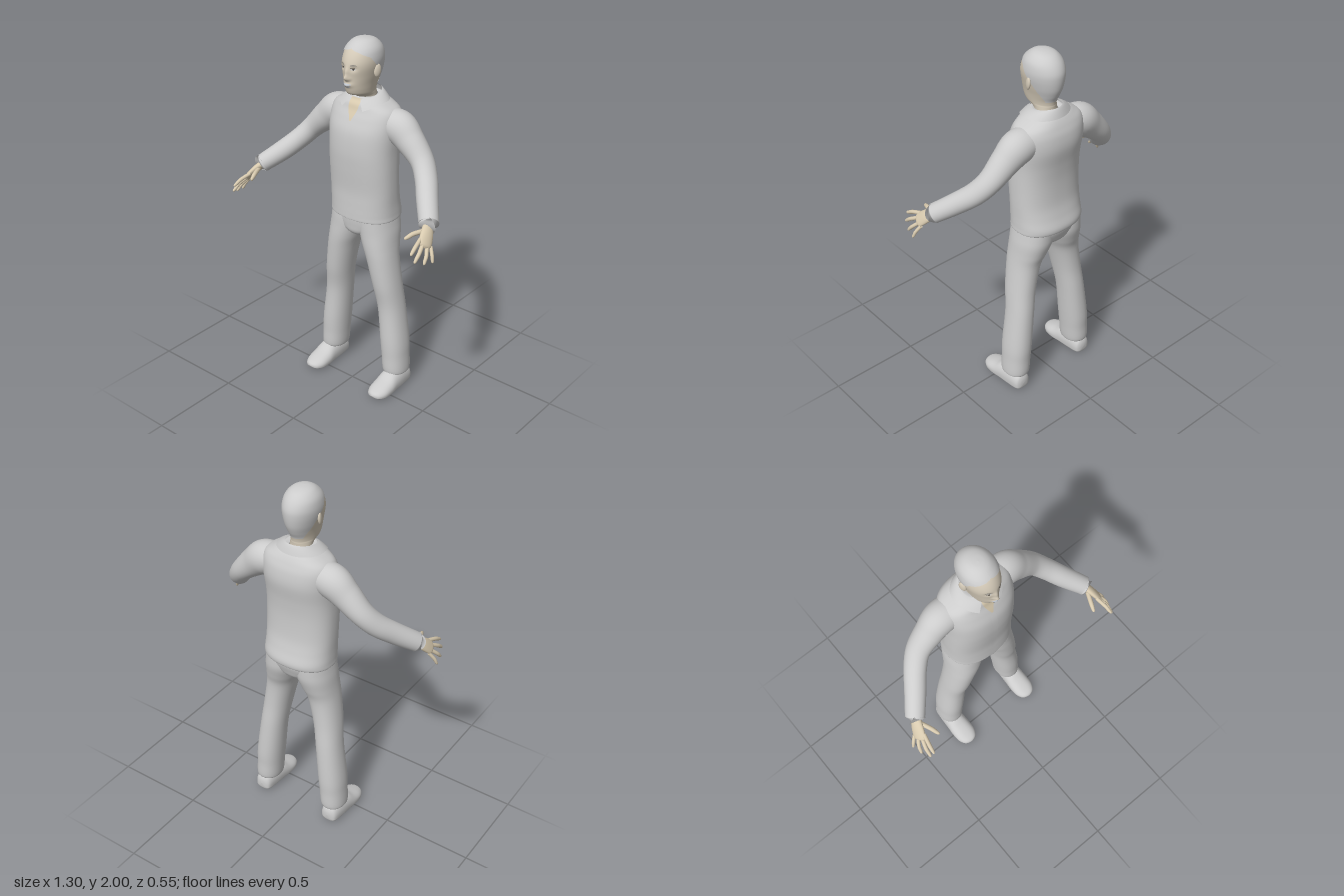
import * as THREE from 'three';

const paint = (name, color) => new THREE.MeshStandardMaterial({ name, color, side: THREE.DoubleSide });
const { sin, cos, sign, abs, PI, exp, max } = Math;

// Smooth (Catmull-Rom) reading of a table of cross-sections, t = 0..1
function sample(table, t) {
  const n = table.length - 1, f = Math.min(max(t, 0), 1) * n;
  const i = Math.min(Math.floor(f), n - 1), k = f - i;
  const row = j => table[Math.min(max(j, 0), n)];
  return table[0].map((_, c) => {
    const [a, b, d, e] = [row(i - 1)[c], row(i)[c], row(i + 1)[c], row(i + 2)[c]];
    return b + 0.5 * k * (d - a + k * (2 * a - 5 * b + 4 * d - e + k * (3 * (b - d) + e - a)));
  });
}

// Straight-line reading of [key, value] pairs
function lerpTable(table, key) {
  for (let i = 1; i < table.length; i++) {
    const [a, b] = [table[i - 1], table[i]];
    if (key <= b[0]) return b[1] + (a[1] - b[1]) * Math.min(1, (b[0] - key) / (b[0] - a[0]));
  }
  return table[table.length - 1][1];
}

// Surface from point(u, v); wrap joins the last column to the first
function grid(name, material, cols, rows, point, wrap = true) {
  const pos = [], index = [], w = wrap ? cols : cols + 1;
  for (let j = 0; j <= rows; j++)
    for (let i = 0; i < w; i++) pos.push(...point(i / cols, j / rows));
  for (let j = 0; j < rows; j++)
    for (let i = 0; i < cols; i++) {
      const a = j * w + i, b = j * w + (i + 1) % w, c = a + w, d = b + w;
      index.push(a, b, d, a, d, c);
    }
  const g = new THREE.BufferGeometry();
  g.setAttribute('position', new THREE.Float32BufferAttribute(pos, 3));
  g.setIndex(index);
  g.computeVertexNormals();
  const mesh = new THREE.Mesh(g, material);
  mesh.name = name;
  return mesh;
}

const mirrored = point => (u, v) => { const [x, y, z] = point(1 - u, v); return [-x, y, z]; };
const pw = (s, e) => sign(s) * abs(s) ** e;

// Horizontal ring from a row [y, half width, front z, back z, centre x]
function ring([y, rx, zf, zb, cx = 0], a, e = 1) {
  return [cx + rx * pw(sin(a), e), y, (zf + zb) / 2 + (zf - zb) / 2 * pw(cos(a), e)];
}

// Round limb from rows [x, y, z, radius along side, other radius]
function limb(table, side) {
  const at = t => new THREE.Vector3(...sample(table, t));
  return (u, v) => {
    const row = sample(table, v), t = at(v + 0.01).sub(at(v - 0.01)).normalize();
    const e1 = side.clone().addScaledVector(t, -side.dot(t)).normalize();
    const e2 = t.clone().cross(e1), a = u * 2 * PI;
    return new THREE.Vector3(...row).addScaledVector(e1, cos(a) * max(0, row[3]))
      .addScaledVector(e2, sin(a) * max(0, row[4])).toArray();
  };
}

const TORSO = [[1.045, .17, .02, -.24], [1.03, .194, .03, -.26], [1.06, .195, .031, -.266], [1.12, .194, .03, -.25],
  [1.2, .195, .03, -.235], [1.32, .195, .04, -.232], [1.42, .195, .045, -.24], [1.52, .2, .038, -.255],
  [1.59, .2, .015, -.25], [1.635, .185, -.005, -.235], [1.665, .14, -.015, -.22], [1.685, .1, -.03, -.205],
  [1.7, .075, -.04, -.19], [1.695, .05, -.07, -.17]];
const HEAD = [[1.6, .062, -.06, -.175], [1.66, .058, -.05, -.17], [1.7, .056, -.04, -.165], [1.718, .058, -.005, -.165],
  [1.728, .06, .022, -.165], [1.75, .064, .034, -.17], [1.78, .07, .04, -.185], [1.82, .08, .042, -.2],
  [1.87, .09, .045, -.208], [1.91, .091, .035, -.206], [1.95, .082, .012, -.188], [1.98, .059, -.02, -.158],
  [1.994, .032, -.05, -.12], [1.998, 0, -.08, -.08]];
const PELVIS = [[.9, 0, -.1, -.1], [.915, .04, -.03, -.16], [.94, .1, 0, -.215], [.98, .165, .008, -.235],
  [1.03, .183, .012, -.248], [1.08, .18, .01, -.24]];
const LEG = [[.12, .045, -.08, -.16, .222], [.1, .067, -.04, -.2, .222], [.2, .071, -.035, -.205, .215],
  [.3, .073, -.032, -.208, .207], [.5, .07, -.033, -.2, .184], [.65, .073, -.01, -.19, .163], [.8, .08, .005, -.193, .135],
  [.88, .09, .01, -.215, .115], [.95, .098, .01, -.235, .1], [1, .095, .01, -.24, .095], [1.06, .085, .008, -.24, .095]];
const ARM = [[.1, 1.57, -.125, .08, .07], [.2, 1.555, -.13, .085, .09], [.275, 1.5, -.125, .074, .077],
  [.36, 1.42, -.113, .064, .06], [.42, 1.35, -.07, .06, .056], [.48, 1.285, 0, .056, .055],
  [.55, 1.22, .08, .052, .05], [.556, 1.214, .088, .05, .048], [.55, 1.22, .08, .03, .03]];
const PALM = [[.54, 1.232, .066, .027, .022], [.556, 1.21, .092, .027, .02], [.577, 1.183, .128, .036, .019],
  [.595, 1.152, .164, .039, .015], [.603, 1.138, .178, .03, .011], [.607, 1.132, .184, 0, 0]];
// Shoe rows: z, half width, top y, bottom y
const SHOE = [[-.203, 0, .05, .05], [-.198, .03, .08, .015], [-.18, .048, .105, .004], [-.12, .056, .122, 0],
  [-.05, .06, .112, 0], [0, .063, .085, 0], [.05, .06, .066, .004], [.085, .044, .052, .01], [.1, .024, .042, .018], [.106, 0, .03, .03]];
const HAIRLINE = [[1.745, 2.5], [1.8, 2], [1.87, 1.55], [1.92, 1.15], [1.945, .5], [1.957, 0]];

// Head surface with nose, lips and eye sockets raised by rule
const bell = (d, w) => exp(-((d / w) ** 2));
function headPoint(a, t) {
  const p = ring(sample(HEAD, t), a), [x, y] = p;
  if (cos(a) > 0) p[2] += bell(x, .012) * (.023 * bell(y - 1.82, .016) + .011 * bell(y - 1.85, .02))
    + .006 * bell(abs(x) - .013, .008) * bell(y - 1.814, .009)
    + .012 * bell(x, .022) * bell(y - 1.782, .012)
    - .008 * bell(abs(x) - .033, .016) * bell(y - 1.868, .012);
  return p;
}
function headT(y) {
  let lo = 0, hi = 1;
  for (let i = 0; i < 30; i++) { const m = (lo + hi) / 2; if (sample(HEAD, m)[0] < y) lo = m; else hi = m; }
  return lo;
}

export function createModel() {
  const grey = paint('light grey cloth and hair', 0xcccccc);
  const skin = paint('skin', 0xd8caaf);
  const face = paint('face skin', 0xd3c9b7);
  const dark = paint('dark eyes', 0x4c463f);
  const brow = paint('brows', 0x9a958c);
  const lip = paint('pale lips', 0xc3c9d1);

  const model = new THREE.Group();
  model.name = 'standing man';
  const add = (...args) => model.add(grid(...args));
  const pair = (name, mat, cols, rows, point, wrap) => {
    add('left' + name, mat, cols, rows, point, wrap);
    add('right' + name, mat, cols, rows, mirrored(point), wrap);
  };

  // Shirt body, front placket and open neck
  const shirt = (a, t) => ring(sample(TORSO, t), a, .85);
  add('shirt', grey, 64, 78, (u, v) => shirt(u * 2 * PI, v));
  const onShirt = (half, t0, t1, off) => (u, v) => {
    const p = shirt((u * 2 - 1) * half(v), t0 + (t1 - t0) * v);
    return [p[0], p[1], p[2] + off];
  };
  add('placket', grey, 4, 40, onShirt(() => .05, 1 / 13, 8 / 13, .003), false);
  add('openNeck', skin, 8, 16, onShirt(v => .01 + .3 * v, 7.9 / 13, 11.6 / 13, .005), false);

  // Folded collar, open at the front
  add('collar', grey, 48, 8, (u, v) => {
    const gap = .55 - .2 * v, a = gap + u * 2 * (PI - gap), c = cos(a), f = max(0, c);
    const low = 1.678 - .045 * f * f, high = 1.708 - .017 * c;
    const rx = .128 - .053 * v, rz = c > 0 ? .135 - .05 * v : .108 - .023 * v;
    return [rx * sin(a), low + (high - low) * (1 - (1 - v) ** 1.4), -.11 + rz * c];
  }, false);

  // Trousers
  add('trouserSeat', grey, 48, 24, (u, v) => ring(sample(PELVIS, v), u * 2 * PI, .85));
  pair('TrouserLeg', grey, 36, 60, (u, v) => ring(sample(LEG, v), u * 2 * PI, .92));

  // Shoes, flattened underneath
  pair('Shoe', grey, 32, 45, (u, v) => {
    const [z, w, top, low] = sample(SHOE, v), a = u * 2 * PI, s = sin(a), mid = low + (top - low) * .4;
    return [.228 + max(0, w) * pw(cos(a), .85), s > 0 ? mid + (top - mid) * s : mid - (mid - low) * (-s) ** .5, z];
  });

  // Sleeves and hands
  pair('Sleeve', grey, 32, 64, limb(ARM, new THREE.Vector3(0, 0, 1)));
  const across = new THREE.Vector3(.05, -.06, -.1).normalize();
  pair('Palm', skin, 24, 25, limb(PALM, across));
  const fingers = {
    Thumb: [[.562, 1.19, .118], [.534, 1.186, .18], [.515, 1.17, .23], .012],
    IndexFinger: [[.576, 1.172, .18], [.588, 1.155, .235], [.595, 1.13, .283], .0105],
    MiddleFinger: [[.59, 1.153, .175], [.607, 1.125, .228], [.612, 1.09, .275], .0105],
    RingFinger: [[.602, 1.137, .16], [.625, 1.103, .195], [.634, 1.068, .226], .01],
    LittleFinger: [[.61, 1.128, .14], [.632, 1.094, .158], [.646, 1.058, .17], .009],
  };
  for (const [name, [base, joint, tip, r]] of Object.entries(fingers)) {
    const mix = (a, b, k) => a.map((c, i) => c + (b[i] - c) * k);
    const rows = [[...base, r, r], [...joint, r, r], [...mix(joint, tip, .6), r * .9, r * .85],
      [...mix(joint, tip, .92), r * .6, r * .55], [...tip, 0, 0]];
    pair(name, skin, 12, 20, limb(rows, across));
  }

  // Head with neck, and the close-cropped hair over it
  add('headAndNeck', face, 96, 104, (u, v) => headPoint(u * 2 * PI, v));
  const hairBase = headT(1.745);
  add('hair', grey, 72, 60, (u, v) => {
    const t = hairBase + (1 - hairBase) * v, y = sample(HEAD, t)[0], a0 = lerpTable(HAIRLINE, y);
    const p = headPoint(a0 + u * 2 * (PI - a0), t);
    return [p[0] * 1.035, p[1] + .002, (p[2] + .083) * 1.03 - .083];
  }, false);

  // Ears
  for (const s of [1, -1]) {
    const ear = new THREE.Mesh(new THREE.SphereGeometry(1, 20, 14), face);
    ear.name = s > 0 ? 'leftEar' : 'rightEar';
    ear.scale.set(.01, .034, .02);
    ear.position.set(s * .092, 1.845, -.083);
    ear.rotation.set(-.15, s * -.35, 0);
    model.add(ear);
  }

  // Thin oval plates on the face: angle and height of the centre, half sizes, lift
  const oval = (a, y, da, dy, off, tilt = 0) => (u, v) => {
    const r = 1 - v, c = cos(u * 2 * PI) * r, s = sin(u * 2 * PI) * r;
    const p = headPoint(a + da * c, headT(y + dy * s + tilt * (1 - c * c)));
    return [p[0], p[1], p[2] + off];
  };
  pair('EyeWhite', grey, 20, 4, oval(.375, 1.867, .14, .006, .003));
  pair('Iris', dark, 16, 3, oval(.375, 1.867, .055, .0055, .005));
  pair('UpperLid', dark, 20, 3, oval(.375, 1.871, .15, .0015, .005, .002));
  pair('Brow', brow, 20, 3, oval(.39, 1.885, .19, .0035, .003, .003));
  add('upperLip', lip, 24, 4, oval(0, 1.787, .34, .005, .003));
  add('lowerLip', lip, 24, 4, oval(0, 1.775, .28, .0055, .003));
  add('mouthLine', brow, 24, 3, oval(0, 1.781, .33, .0012, .005));
  return model;
}
